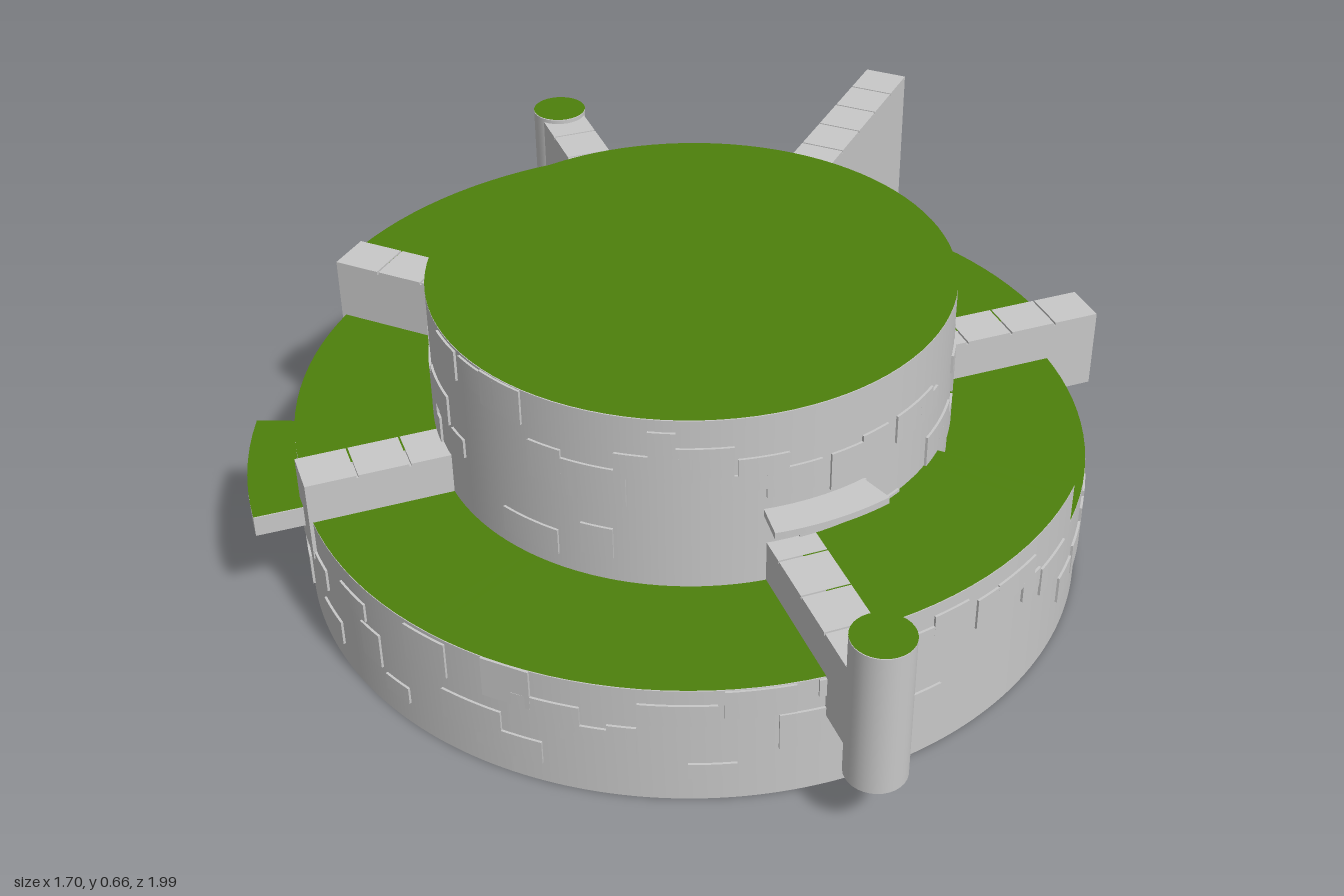
import * as THREE from 'three';
import { toCreasedNormals } from 'three/addons/utils/BufferGeometryUtils.js';

const RING_R = 0.83, TOWER_R = 0.54, TOWER_H = 0.66, EPS = 0.002;
const stone = new THREE.MeshStandardMaterial({ color: 0xc8c8c8 });
stone.name = 'stone';
const grass = new THREE.MeshStandardMaterial({ color: 0x4d800c });
grass.name = 'grass';
const rad = THREE.MathUtils.degToRad;

// Azimuths are in degrees, from +z (front) towards +x
function part(parent, name, geometry, material) {
  const mesh = new THREE.Mesh(geometry, material);
  mesh.name = name;
  parent.add(mesh);
  return mesh;
}

// Solid slice of a ring between two azimuths
function slice(rIn, rOut, a0, a1, y0, y1) {
  const t0 = rad(a0 - 90), t1 = rad(a1 - 90);
  const shape = new THREE.Shape();
  shape.absarc(0, 0, rOut, t0, t1, false);
  shape.absarc(0, 0, rIn, t1, t0, true);
  const curveSegments = Math.max(3, Math.ceil((a1 - a0) / 3));
  const g = new THREE.ExtrudeGeometry(shape, { depth: y1 - y0, bevelEnabled: false, curveSegments });
  g.rotateX(-Math.PI / 2).translate(0, y0, 0);
  return toCreasedNormals(g, rad(30));
}

// Flat grass face over a slice
function turf(rIn, rOut, a0, a1, y) {
  const segs = Math.max(3, Math.ceil((a1 - a0) / 3));
  return new THREE.RingGeometry(rIn, rOut, segs, 1, rad(a0 - 90), rad(a1 - a0))
    .rotateX(-Math.PI / 2).translate(0, y + EPS, 0);
}

// Round post with a grass top
function post(parent, azimuth, r, y0, y1) {
  const g = new THREE.Group();
  g.name = 'roundPost';
  const h = y1 - y0;
  part(g, 'postShaft', new THREE.CylinderGeometry(0.061, 0.061, h, 32), stone).position.y = y0 + h / 2;
  part(g, 'postTop', new THREE.CircleGeometry(0.061, 32).rotateX(-Math.PI / 2), grass).position.y = y1 + EPS;
  g.position.set(Math.sin(rad(azimuth)) * r, 0, Math.cos(rad(azimuth)) * r);
  parent.add(g);
}

// Radial wall with a row of cap stones
function wall(parent, azimuth, rEnd, top) {
  const g = new THREE.Group();
  g.name = 'radialWall';
  const bottom = 0.18, cap = 0.006, start = 0.52, width = 0.1;
  const len = rEnd - start, h = top - bottom;
  part(g, 'wallBody', new THREE.BoxGeometry(width, h, len), stone)
    .position.set(0, bottom + h / 2, start + len / 2);
  for (let z = rEnd; z > start; z -= 0.108) {
    const l = Math.min(0.104, z - start);
    part(g, 'capStone', new THREE.BoxGeometry(width, cap, l), stone)
      .position.set(0, top + cap / 2, z - l / 2);
  }
  g.rotation.y = rad(azimuth);
  parent.add(g);
}

// Slightly proud blocks scattered over a curved wall
function bricks(parent, r, count, seed, minY, topAt) {
  let s = seed;
  const rand = () => (s = (s * 16807) % 2147483647) / 2147483647;
  for (let i = 0; i < count; i++) {
    const a = -180 + (360 * (i + 0.6 * rand())) / count;
    const width = (0.05 + 0.1 * rand()) / r * 57.3;
    const h = 0.035 + 0.05 * rand();
    const top = Math.min(topAt(a), topAt(a + width));
    const y = minY + rand() * (top - h - minY);
    part(parent, 'raisedBlock', slice(r - 0.01, r + 0.005, a, a + width, y, y + h), stone);
  }
}

export function createModel() {
  const model = new THREE.Group();
  model.name = 'steppedRoundTerrace';
  const body = new THREE.Group();
  body.name = 'terrace';
  body.position.set(0.015, 0, 0.16);
  model.add(body);

  // Central tower
  part(body, 'tower', new THREE.CylinderGeometry(TOWER_R, TOWER_R, TOWER_H, 96), stone).position.y = TOWER_H / 2;
  part(body, 'towerGrass', new THREE.CircleGeometry(TOWER_R, 96).rotateX(-Math.PI / 2), grass).position.y = TOWER_H + EPS;

  // Eight terrace sectors of 45 degrees, starting at the back
  const heights = [0.49, 0.49, 0.36, 0.27, 0.27, 0.36, 0.27, 0.36];
  heights.forEach((h, i) => {
    const a = -180 + i * 45;
    part(body, 'terraceSector', slice(TOWER_R - 0.02, RING_R, a, a + 45, 0, h), stone);
    part(body, 'terraceGrass', turf(TOWER_R, RING_R, a, a + 45, h), grass);
  });

  // Radial walls: azimuth, outer end, top
  [
    [0, 0.834, 0.265], [45, 0.92, 0.357], [135, 0.945, 0.357], [180, 1.16, 0.58],
    [-135, 0.9, 0.575], [-90, 0.838, 0.49], [-45, 0.836, 0.357],
  ].forEach(([a, r, top]) => wall(body, a, r, top));

  // Round posts at two wall ends
  post(body, 45, 0.947, 0.13, 0.45);
  post(body, -135, 0.913, 0.13, 0.59);

  // Outer balcony and small tower ledge
  part(body, 'balcony', slice(RING_R - 0.02, 0.937, -67, -46, 0.22, 0.265), stone);
  part(body, 'balconyGrass', turf(RING_R, 0.937, -67, -46, 0.265), grass);
  part(body, 'towerLedge', slice(TOWER_R - 0.02, 0.615, 39, 62, 0.43, 0.445), stone);

  // Raised masonry
  const sectorTop = (a) => heights[Math.floor((a + 180) / 45) % 8];
  bricks(body, RING_R, 64, 1234, 0.04, sectorTop);
  bricks(body, TOWER_R, 56, 987, 0.3, () => TOWER_H);
  return model;
}
